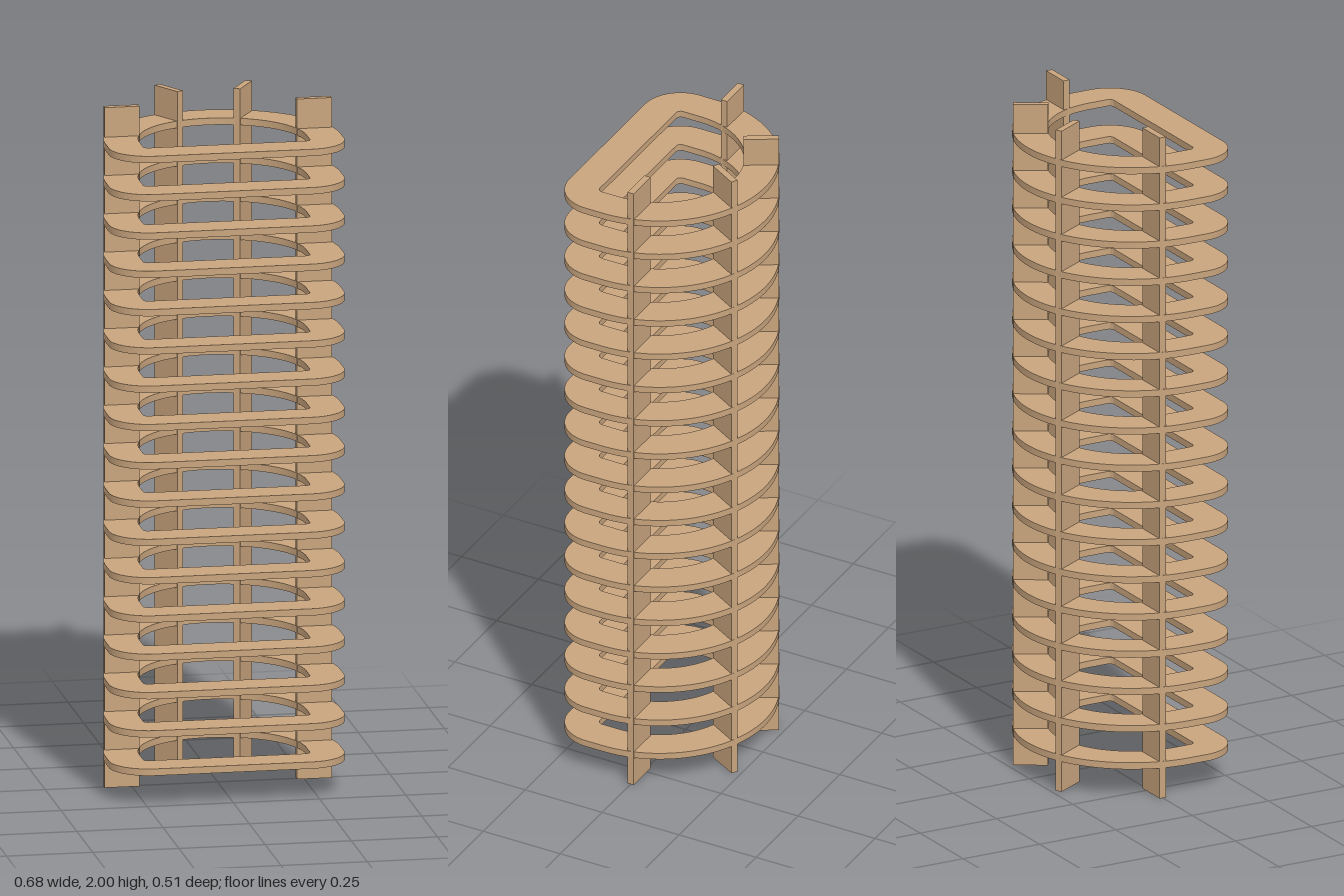
import * as THREE from 'three';
import { toCreasedNormals } from 'three/addons/utils/BufferGeometryUtils.js';

const THICK = 0.02;      // sheet thickness
const ARC_Z = 0.084;     // centre of the round back
const RING_COUNT = 17;
const RING_STEP = 0.1126;

// D-shaped outline: round back, straight sides, rounded front corners (shape y = -z)
function trace(path, radius, front, corner) {
  path.absarc(0, -ARC_Z, radius, 0, Math.PI, false);
  path.lineTo(-radius, -(front - corner));
  path.absarc(-radius + corner, -front + corner, corner, Math.PI, Math.PI * 1.5, false);
  path.lineTo(radius - corner, -front);
  path.absarc(radius - corner, -front + corner, corner, Math.PI * 1.5, Math.PI * 2, false);
  path.closePath();
  return path;
}

function ringGeometry() {
  const shape = trace(new THREE.Shape(), 0.341, 0.255, 0.115);
  shape.holes.push(trace(new THREE.Path(), 0.242, 0.155, 0.015));
  const geo = new THREE.ExtrudeGeometry(shape, { depth: THICK, bevelEnabled: false, curveSegments: 32 });
  geo.rotateX(-Math.PI / 2);
  geo.translate(0, -THICK / 2, 0);
  return toCreasedNormals(geo, 0.6);
}

export function createModel() {
  const model = new THREE.Group();
  model.name = 'ribbedFrame';
  const wood = new THREE.MeshStandardMaterial({ color: 0xc8a47d });
  wood.name = 'lightWood';

  // Stacked horizontal rings
  const rings = new THREE.Group();
  rings.name = 'rings';
  const ringGeo = ringGeometry();
  for (let i = 0; i < RING_COUNT; i++) {
    const ring = new THREE.Mesh(ringGeo, wood);
    ring.name = `ring${i + 1}`;
    ring.position.y = 1.002 + (i - (RING_COUNT - 1) / 2) * RING_STEP;
    rings.add(ring);
  }
  model.add(rings);

  // Upright slats, set radially: [name, angle in degrees, centre radius]
  const slatGeo = new THREE.BoxGeometry(0.101, 2, THICK);
  const slats = [
    ['leftSideSlat', 0, 0.279],
    ['leftBackSlat', 60, 0.215],
    ['rightBackSlat', 120, 0.215],
    ['rightSideSlat', 180, 0.279],
  ];
  for (const [name, degrees, radius] of slats) {
    const a = THREE.MathUtils.degToRad(degrees);
    const slat = new THREE.Mesh(slatGeo, wood);
    slat.name = name;
    slat.position.set(Math.cos(a) * radius, 1, -Math.sin(a) * radius);
    slat.rotation.y = a;
    model.add(slat);
  }
  return model;
}
